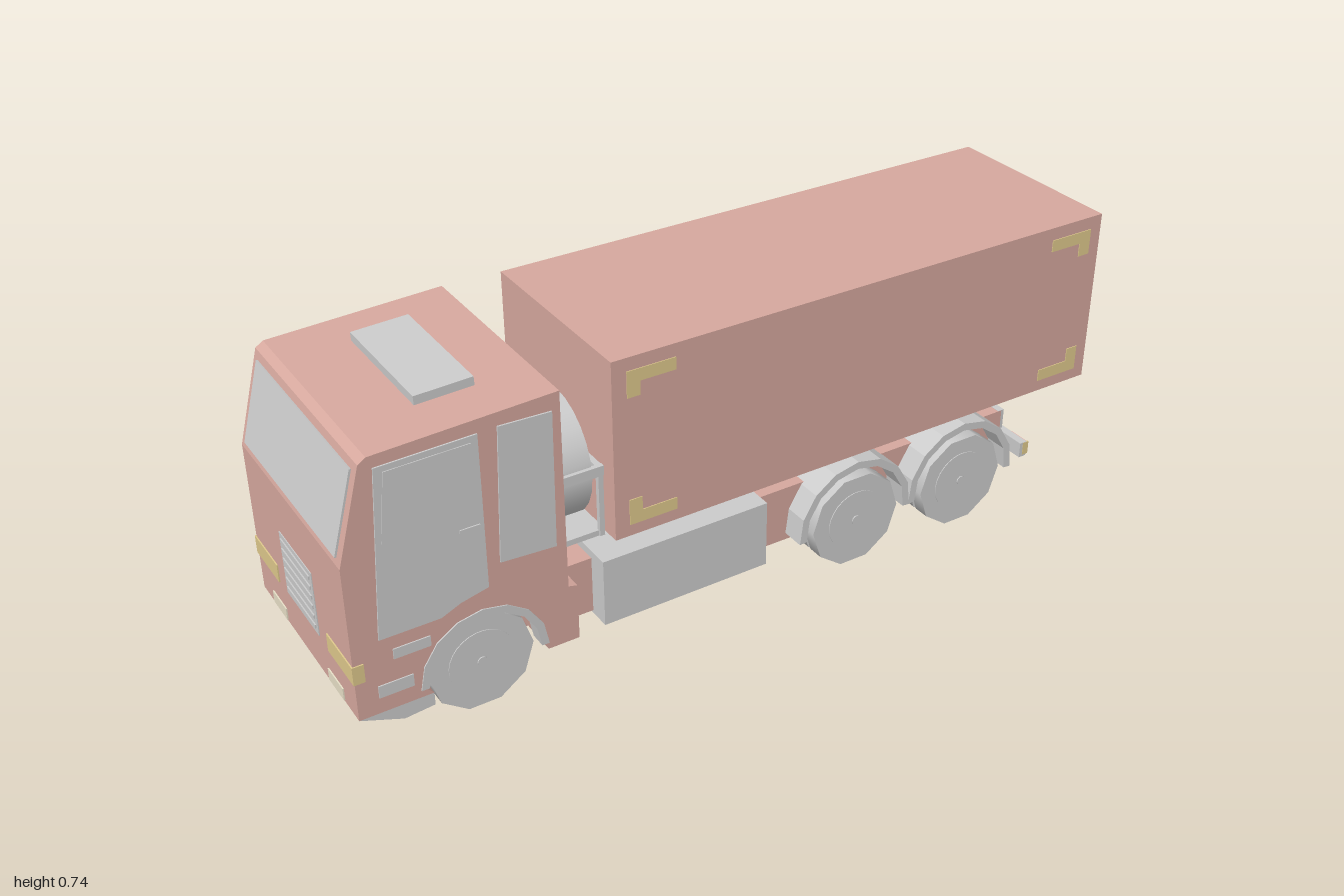
import * as THREE from 'three';

const mat = (color) => new THREE.MeshStandardMaterial({ color });
const GREY = mat(0xcccccc), RED = mat(0xd6a89e), YELLOW = mat(0xdfc98c);
const CREAM = mat(0xe8e0c8), PINK = mat(0xe6b0a6);
const MID = 0.004; // z of the cab and axle centre plane

export function createModel() {
  const truck = new THREE.Group();
  truck.name = 'truck';

  const add = (name, geometry, material, parent = truck) => {
    const mesh = new THREE.Mesh(geometry, material);
    mesh.name = name;
    parent.add(mesh);
    return mesh;
  };
  // Box given by its limits on each axis
  const box = (name, material, x0, x1, y0, y1, z0, z1) => {
    const mesh = add(name, new THREE.BoxGeometry(x1 - x0, y1 - y0, z1 - z0), material);
    mesh.position.set((x0 + x1) / 2, (y0 + y1) / 2, (z0 + z1) / 2);
    return mesh;
  };
  const shapeOf = (points) => new THREE.Shape(points.map(([x, y]) => new THREE.Vector2(x, y)));
  // Side outline extruded between two z limits
  const slab = (name, material, points, z0, z1) => {
    const geometry = new THREE.ExtrudeGeometry(shapeOf(points), { depth: z1 - z0, bevelEnabled: false });
    const mesh = add(name, geometry, material);
    mesh.position.z = z0;
    return mesh;
  };
  // Thin plate standing proud of a side surface at z, on side s
  const plate = (name, material, points, z, s, t) =>
    slab(name, material, points, s > 0 ? z - 0.002 : z - t, s > 0 ? z + t : z + 0.002);
  const rect = (x0, x1, y0, y1) => [[x0, y0], [x1, y0], [x1, y1], [x0, y1]];
  // Points along a wheel arch, from angle a0 to a1 in degrees
  const arc = (cx, cy, r, a0, a1, n) => Array.from({ length: n + 1 }, (_, i) => {
    const a = THREE.MathUtils.degToRad(a0 + (a1 - a0) * i / n);
    return [cx + r * Math.cos(a), cy + r * Math.sin(a)];
  });
  const fender = (name, x, r0, r1, a0, a1, z0, z1) =>
    slab(name, GREY, [...arc(x, 0.118, r1, a0, a1, 8), ...arc(x, 0.118, r0, a1, a0, 8)], z0, z1);

  // Wheel with ten-sided tyre, dished rim and hub, facing side s
  const wheel = (name, x, z, width, s) => {
    const group = new THREE.Group();
    group.name = name;
    group.position.set(x, 0.118, z);
    group.rotation.x = s * Math.PI / 2;
    const disc = (part, r, w, y, sides) => {
      const mesh = add(part, new THREE.CylinderGeometry(r, r, w, sides, 1, false, Math.PI / sides), GREY, group);
      mesh.position.y = y;
    };
    disc('tyre', 0.123, width, 0, 10);
    disc('rim', 0.078, 0.004, width / 2, 28);
    disc('hub', 0.012, 0.006, width / 2 + 0.002, 10);
    truck.add(group);
  };

  // Cab body, with wheel arches cut into its lower edge
  const wheelX = -0.708;
  slab('cab', RED, [
    [-0.998, 0.1], [-0.83, 0.1], ...arc(wheelX, 0.118, 0.138, 180, 0, 8), [-0.56, 0.1],
    [-0.484, 0.1], [-0.484, 0.24], [-0.505, 0.245], [-0.505, 0.728],
    [-0.92, 0.712], [-0.938, 0.7], [-0.998, 0.48],
  ], MID - 0.272, MID + 0.272);
  slab('bumperSkirt', GREY, [[-0.998, 0.1], [-0.9, 0.062], [-0.83, 0.068], [-0.83, 0.1]], MID - 0.272, MID + 0.272);
  const hatch = box('roofHatch', GREY, -0.767, -0.634, 0.717, 0.741, -0.157, 0.158);
  hatch.rotation.z = 0.037;

  // Cab front
  const windscreen = box('windscreen', GREY, -0.973, -0.963, 0.492, 0.685, MID - 0.25, MID + 0.25);
  windscreen.rotation.z = -0.266;
  box('grillePanel', GREY, -1, -0.99, 0.2, 0.36, MID - 0.09, MID + 0.09);
  for (let i = 0; i < 6; i++) {
    const y = 0.214 + i * 0.025;
    box('grilleSlat', GREY, -1.003, -0.99, y, y + 0.009, MID - 0.08, MID + 0.08);
  }

  for (const s of [1, -1]) {
    const cabSide = MID + s * 0.272;
    const across = (a, b) => [MID + s * a, MID + s * b].sort((p, q) => p - q);

    // Doors, windows and lamps on the cab sides
    plate('door', GREY, [
      [-0.938, 0.285], [-0.8, 0.285], [-0.775, 0.25], [-0.755, 0.305], [-0.69, 0.32],
      [-0.69, 0.69], [-0.91, 0.685],
    ].filter((p) => p[1] > 0.26), cabSide, s, 0.004);
    plate('doorWindow', GREY, [[-0.91, 0.51], [-0.8, 0.515], [-0.71, 0.54], [-0.706, 0.675], [-0.892, 0.672]], cabSide, s, 0.006);
    plate('doorHandle', GREY, rect(-0.745, -0.7, 0.474, 0.482), cabSide, s, 0.007);
    plate('rearCabPanel', GREY, [[-0.66, 0.37], [-0.53, 0.362], [-0.525, 0.688], [-0.646, 0.692]], cabSide, s, 0.004);
    plate('upperStep', GREY, rect(-0.91, -0.827, 0.225, 0.25), cabSide, s, 0.003);
    plate('lowerStep', GREY, rect(-0.95, -0.872, 0.14, 0.17), cabSide, s, 0.003);
    box('cornerIndicator', YELLOW, -1.001, -0.975, 0.195, 0.24, ...across(0.14, 0.275));
    box('headlamp', CREAM, -1.001, -0.985, 0.105, 0.135, ...across(0.12, 0.2));

    // Wheels and mudguards
    fender('frontFender', wheelX, 0.132, 0.15, 0, 180, ...across(0.235, 0.275));
    wheel('frontWheel', wheelX, MID + s * 0.228, 0.046, s);
    for (const x of [0.278, 0.598]) {
      wheel('rearOuterWheel', x, MID + s * 0.231, 0.04, s);
      wheel('rearInnerWheel', x, MID + s * 0.184, 0.035, s);
      fender('rearFender', x, 0.143, 0.162, -5, 185, ...across(0.148, 0.252));
    }

    // Side tank
    box('sideTank', GREY, -0.405, 0.025, 0.082, 0.252, ...across(0.13, 0.245));

    // Rear lamps
    box('tailLamp', PINK, 0.775, 0.792, 0.146, 0.176, ...across(0.215, 0.273));
    box('reverseLamp', CREAM, 0.775, 0.792, 0.146, 0.176, ...across(0.155, 0.215));
    box('sideMarker', YELLOW, 0.774, 0.791, 0.145, 0.179, ...across(0.272, 0.277));

    // Corner marks on the cargo box sides
    const boxSide = s > 0 ? 0.239 : -0.255;
    for (const [x, dx] of [[-0.33, 1], [0.958, -1]]) {
      for (const [y, dy] of [[0.7, -1], [0.318, 1]]) {
        const mark = [[0, 0], [0.12, 0], [0.12, 0.03], [0.032, 0.03], [0.032, 0.064], [0, 0.064]]
          .map(([u, v]) => [x + dx * u, y + dy * v]);
        plate('cornerMark', YELLOW, mark, boxSide, s, 0.002);
      }
    }
  }

  // Chassis, subframe and rear bumper
  slab('chassis', RED, [[-0.54, 0.09], [0.73, 0.082], [0.745, 0.14], [0.77, 0.14], [0.77, 0.232], [-0.54, 0.232]], -0.19, 0.196);
  box('frontUnderbody', RED, -0.86, -0.5, 0.09, 0.3, -0.16, 0.168);
  box('subframe', GREY, -0.484, 0.83, 0.225, 0.289, -0.077, 0.07);
  box('airIntake', GREY, -0.484, -0.36, 0.2, 0.25, -0.2, -0.07);
  box('chassisEnd', GREY, 0.76, 0.778, 0.17, 0.233, -0.19, 0.196);
  box('rearBumper', GREY, 0.765, 0.786, 0.14, 0.18, -0.276, 0.28);
  box('rearPlate', CREAM, 0.775, 0.792, 0.146, 0.176, -0.05, 0.047);
  for (const x of [0.278, 0.598, wheelX]) {
    const axle = add('axle', new THREE.CylinderGeometry(0.02, 0.02, 0.42, 10), GREY);
    axle.position.set(x, 0.118, MID);
    axle.rotation.x = Math.PI / 2;
  }

  // Cargo box and rear doors
  box('cargoBox', RED, -0.366, 0.99, 0.289, 0.732, -0.255, 0.239);
  box('rightRearDoor', GREY, 0.98, 0.994, 0.293, 0.718, -0.242, 0.227);
  box('leftRearDoor', GREY, 0.985, 0.997, 0.3, 0.712, -0.008, 0.217);
  box('doorSeal', GREY, 0.985, 0.998, 0.3, 0.712, -0.014, -0.008);
  for (const z of [0, -0.03]) box('rearDoorHandle', GREY, 0.99, 1, 0.463, 0.48, z - 0.005, z + 0.005);
  for (const z of [0.212, -0.229]) {
    for (const y of [0.355, 0.65]) box('doorHinge', GREY, 0.985, 1, y - 0.006, y + 0.006, z - 0.006, z + 0.006);
  }

  // Spare wheel on its carrier behind the cab
  const spare = new THREE.Group();
  spare.name = 'spareWheel';
  spare.position.set(-0.447, 0.46, 0.078);
  spare.rotation.z = Math.PI / 2;
  add('spareTyre', new THREE.CylinderGeometry(0.148, 0.148, 0.072, 24), GREY, spare);
  add('spareRim', new THREE.CylinderGeometry(0.09, 0.09, 0.078, 24), GREY, spare);
  truck.add(spare);
  for (const z of [-0.07, 0.226]) {
    box('carrierArm', GREY, -0.506, -0.386, 0.462, 0.486, z - 0.006, z + 0.006);
    box('carrierPost', GREY, -0.4, -0.388, 0.31, 0.474, z - 0.006, z + 0.006);
  }
  box('carrierBar', GREY, -0.4, -0.386, 0.464, 0.484, -0.07, 0.226);
  box('carrierFoot', GREY, -0.506, -0.386, 0.308, 0.322, -0.07, 0.226);

  return truck;
}
